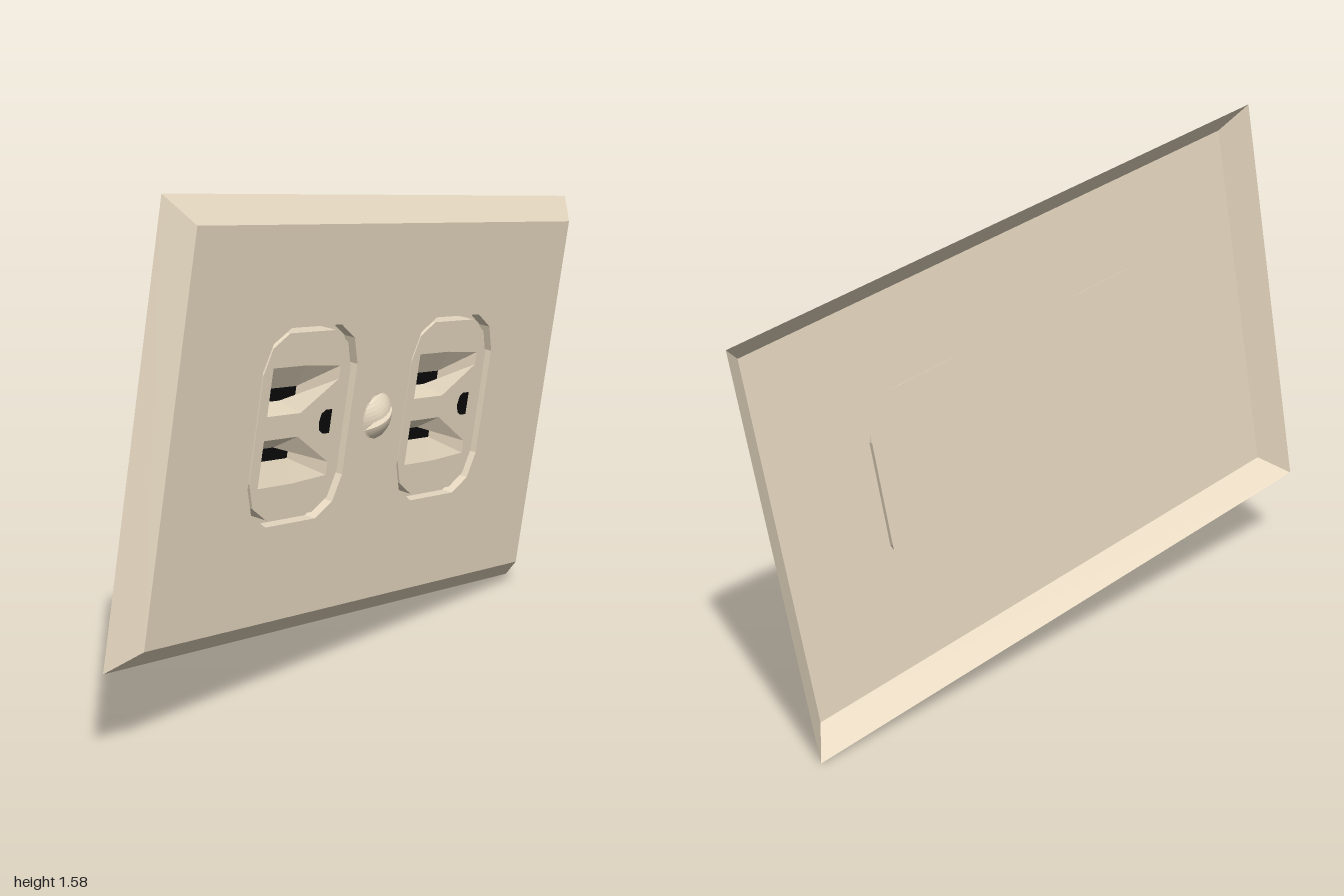
import * as THREE from 'three';

const beige = new THREE.MeshStandardMaterial({ color: 0xe6d8c0, flatShading: true, side: THREE.DoubleSide });
const black = new THREE.MeshStandardMaterial({ color: 0x0a0a0a, side: THREE.DoubleSide });

const DEPTH = 0.073;     // plate front above its rear rim
const FACE = 0.063;      // socket face
const SLOT = 0.03;       // bottom of the slot funnels

const rect = (x0, x1, y0, y1) => [[x0, y0], [x1, y0], [x1, y1], [x0, y1]];
const shift = (loop, dx) => loop.map(([x, y]) => [x + dx, y]);
const toShape = (loop) => new THREE.Shape(loop.map(([x, y]) => new THREE.Vector2(x, y)));

// Twelve-sided socket outline, optionally shrunk by a gap
function outline(gap = 0) {
  const quarter = [[0.224, 0.168], [0.192, 0.248], [0.118, 0.291]];
  const q = quarter.map(([x, y]) => [x * (1 - gap / 0.224), y * (1 - gap / 0.291)]);
  const r = [...q].reverse();
  return [
    ...q, ...r.map(([x, y]) => [-x, y]),
    ...q.map(([x, y]) => [-x, -y]), ...r.map(([x, y]) => [x, -y]),
  ];
}

function mesh(name, geometry, material = beige) {
  const m = new THREE.Mesh(geometry, material);
  m.name = name;
  return m;
}

// Flat sheet with holes at height z
function sheet(name, loop, z, holes = [], material = beige) {
  const shape = toShape(loop);
  shape.holes = holes.map((h) => toShape(h));
  const m = mesh(name, new THREE.ShapeGeometry(shape), material);
  m.position.z = z;
  return m;
}

// Closed wall between two loops with equal point counts
function wall(name, low, zLow, high, zHigh) {
  const pos = [];
  low.forEach((a, i) => {
    const j = (i + 1) % low.length;
    const A = [...a, zLow], B = [...low[j], zLow];
    const C = [...high[j], zHigh], D = [...high[i], zHigh];
    pos.push(...A, ...B, ...C, ...A, ...C, ...D);
  });
  const g = new THREE.BufferGeometry();
  g.setAttribute('position', new THREE.Float32BufferAttribute(pos, 3));
  g.computeVertexNormals();
  return mesh(name, g);
}

// Socket body with two funnelled slots and an earth hole
function createSocket() {
  const socket = new THREE.Group();
  socket.name = 'socket';
  const body = outline(0.018);
  const funnels = [1, -1].map((s) => ({
    mouth: [[-0.165, 0.035 * s], [-0.01, 0.035 * s], [0.155, 0.125 * s], [0.155, 0.165 * s], [-0.01, 0.175 * s], [-0.165, 0.175 * s]],
    slot: [[-0.148, 0.069 * s], [-0.075, 0.069 * s], [-0.003, 0.069 * s], [-0.003, 0.107 * s], [-0.075, 0.107 * s], [-0.148, 0.107 * s]],
  }));
  socket.add(sheet('socketFace', body, FACE, funnels.map((f) => f.mouth)));
  socket.add(wall('socketSide', body, 0, body, FACE));
  for (const f of funnels) {
    socket.add(wall('slotFunnel', f.slot, SLOT, f.mouth, FACE));
    socket.add(sheet('slot', f.slot, SLOT, [], black));
  }
  const earth = [[0.14, -0.036], [0.14, 0.036], [0.108, 0.036], [0.09, 0.025], [0.083, 0], [0.09, -0.025], [0.108, -0.036]];
  socket.add(sheet('earthHole', earth, FACE + 0.002, [], black));
  return socket;
}

// Domed screw head, two halves either side of a straight groove
function createScrew() {
  const screw = new THREE.Group();
  screw.name = 'screw';
  const R = 0.072, H = 0.034, G = 0.009;
  const height = (x, y) => H * (1 - (x * x + y * y) / (R * R));
  const bend = (geometry, rule) => {
    const p = geometry.attributes.position;
    for (let i = 0; i < p.count; i++) p.setXYZ(i, ...rule(p.getX(i), p.getY(i)));
    geometry.computeVertexNormals();
    return geometry;
  };
  const dome = bend(new THREE.PlaneGeometry(2, 1, 12, 6), (s, t) => {
    const y = G + (t + 0.5) * (R - G);
    const x = s * Math.sqrt(Math.max(0, R * R - y * y));
    return [x, y, height(x, y)];
  });
  const side = bend(new THREE.PlaneGeometry(2, 1, 12, 1), (s, t) => {
    const x = s * Math.sqrt(R * R - G * G);
    return [x, G, (t + 0.5) * height(x, G)];
  });
  for (const turn of [0, Math.PI]) {
    const half = new THREE.Group();
    half.name = 'screwHalf';
    half.add(mesh('screwDome', dome), mesh('grooveSide', side));
    half.rotation.z = turn;
    screw.add(half);
  }
  const floor = mesh('grooveFloor', new THREE.CircleGeometry(R, 24));
  floor.position.z = 0.002;
  screw.add(floor);
  screw.rotation.z = 0.5;
  screw.position.z = DEPTH;
  return screw;
}

export function createModel() {
  const model = new THREE.Group();
  const outlet = new THREE.Group();
  outlet.name = 'wallOutlet';
  model.add(outlet);

  // Hollow cover plate with bevelled rim
  const rim = rect(-1.025, 1.025, -0.6575, 0.6575);
  const front = rect(-0.952, 0.952, -0.585, 0.585);
  const centres = [-0.365, 0.365];
  outlet.add(sheet('plateFront', front, DEPTH, centres.map((x) => shift(outline(), x))));
  outlet.add(wall('plateBevel', rim, 0, front, DEPTH));

  // Sockets and their openings
  for (const x of centres) {
    const hole = shift(outline(), x);
    outlet.add(wall('openingEdge', hole, 0.035, hole, DEPTH));
    const socket = createSocket();
    socket.position.x = x;
    outlet.add(socket);
  }
  outlet.add(sheet('backingPlate', rect(-0.63, 0.63, -0.33, 0.33), 0));
  outlet.add(createScrew());

  // Tilted pose
  const right = new THREE.Vector3(0.878, -0.1366, -0.4585).normalize();
  const up = new THREE.Vector3(0.152, 0.988, 0);
  const normal = new THREE.Vector3().crossVectors(right, up).normalize();
  up.crossVectors(normal, right);
  outlet.quaternion.setFromRotationMatrix(new THREE.Matrix4().makeBasis(right, up, normal));
  outlet.position.set(0, 0.79, -0.015);
  return model;
}
